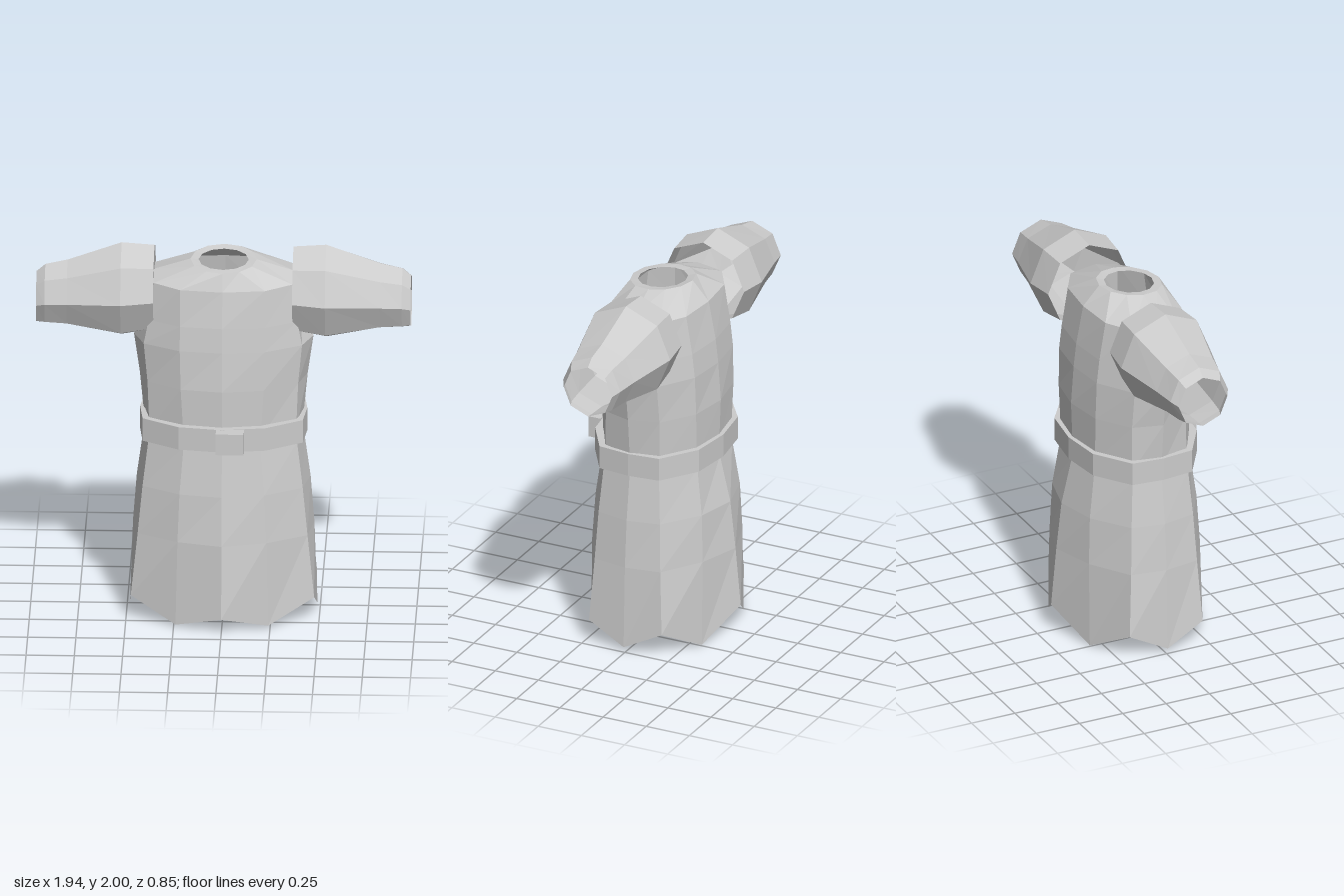
import * as THREE from 'three';

const cloth = new THREE.MeshStandardMaterial({ color: 0xcccccc, flatShading: true, side: THREE.DoubleSide });
cloth.name = 'grey cloth';

// Skin a list of closed rings (each a list of [x, y, z] points) with quads
function loft(name, rings) {
  const pos = [];
  for (let r = 0; r < rings.length - 1; r++) {
    const lo = rings[r], hi = rings[r + 1], n = lo.length;
    for (let i = 0; i < n; i++) {
      const j = (i + 1) % n;
      for (const p of [lo[i], lo[j], hi[j], lo[i], hi[j], hi[i]]) pos.push(...p);
    }
  }
  const geo = new THREE.BufferGeometry();
  geo.setAttribute('position', new THREE.Float32BufferAttribute(pos, 3));
  geo.computeVertexNormals();
  const mesh = new THREE.Mesh(geo, cloth);
  mesh.name = name;
  return mesh;
}

// Twelve-point ring from its +x half, running front centre to back centre
function mirrorRing(half) {
  return [...half, ...half.slice(1, 6).reverse().map(([x, y, z]) => [-x, y, z])];
}

// y is one height, or seven heights from front to back
function bodyRing([y, x1, x2, xs, zf, z1, z2, b2, b1, bb]) {
  const xs7 = [0, x1, x2, xs, x2, x1, 0];
  const zs7 = [zf, z1, z2, 0.015, b2, b1, bb];
  return mirrorRing(xs7.map((x, i) => [x, Array.isArray(y) ? y[i] : y, zs7[i]]));
}

function neckRing(radius, yFront, yBack) {
  const half = [];
  for (let i = 0; i < 7; i++) {
    const a = i * Math.PI / 6;
    half.push([radius * Math.sin(a), yFront + (yBack - yFront) * (1 - Math.cos(a)) / 2, 0.03 + radius * Math.cos(a)]);
  }
  return mirrorRing(half);
}

export function createModel() {
  const model = new THREE.Group();
  model.name = 'tunic';

  // Skirt with a pointed hem
  const waist = [1.04, 0.2, 0.38, 0.41, 0.31, 0.275, 0.175, -0.14, -0.265, -0.295];
  model.add(loft('skirt', [
    [[0.08, 0.01, 0.13, 0.02, 0.13, 0, 0.15], 0.24, 0.475, 0.485, 0.425, 0.325, 0.22, -0.2, -0.315, -0.42],
    [0.47, 0.23, 0.44, 0.47, 0.385, 0.325, 0.205, -0.175, -0.315, -0.39],
    [0.73, 0.22, 0.415, 0.45, 0.35, 0.31, 0.195, -0.16, -0.305, -0.36],
    [0.98, 0.2, 0.385, 0.415, 0.315, 0.28, 0.18, -0.14, -0.27, -0.3],
    waist,
  ].map(bodyRing)));

  // Torso, shoulders and neck opening
  model.add(loft('torso', [
    ...[
      waist,
      [1.3, 0.215, 0.39, 0.435, 0.31, 0.275, 0.165, -0.145, -0.27, -0.305],
      [1.51, 0.22, 0.41, 0.465, 0.29, 0.265, 0.16, -0.14, -0.265, -0.29],
      [1.64, 0.22, 0.385, 0.4, 0.275, 0.25, 0.155, -0.14, -0.25, -0.275],
      [[1.83, 1.835, 1.84, 1.87, 1.85, 1.85, 1.85], 0.22, 0.36, 0.36, 0.24, 0.225, 0.14, -0.13, -0.215, -0.235],
    ].map(bodyRing),
    neckRing(0.172, 1.92, 1.95),
    neckRing(0.13, 1.925, 1.94),
  ]));

  // Belt band and buckle
  const beltOuter = y => bodyRing([y, 0.225, 0.415, 0.433, 0.345, 0.31, 0.19, -0.155, -0.29, -0.32]);
  const beltInner = y => bodyRing([y, 0.2, 0.375, 0.4, 0.3, 0.265, 0.17, -0.135, -0.255, -0.285]);
  model.add(loft('belt', [beltInner(0.98), beltOuter(0.98), beltOuter(1.105), beltInner(1.105)]));

  const buckle = new THREE.Mesh(new THREE.BoxGeometry(0.145, 0.115, 0.07), cloth);
  buckle.name = 'buckle';
  buckle.position.set(0.043, 1.047, 0.37);
  model.add(buckle);

  // Open eight-sided sleeves: x, centre height, half height, half depth
  const sleeve = [
    [0.36, 1.755, 0.233, 0.237],
    [0.53, 1.745, 0.255, 0.255],
    [0.81, 1.722, 0.178, 0.188],
    [0.925, 1.712, 0.162, 0.166],
    [0.97, 1.695, 0.14, 0.14],
  ];
  for (const side of [1, -1]) {
    const rings = sleeve.map(([x, cy, ry, rz]) =>
      Array.from({ length: 8 }, (_, i) => {
        const a = i * Math.PI / 4;
        return [side * x, cy + ry * Math.cos(a), -0.022 + rz * Math.sin(a)];
      }));
    if (side < 0) rings.reverse();
    model.add(loft(side > 0 ? 'leftSleeve' : 'rightSleeve', rings));
  }
  return model;
}
